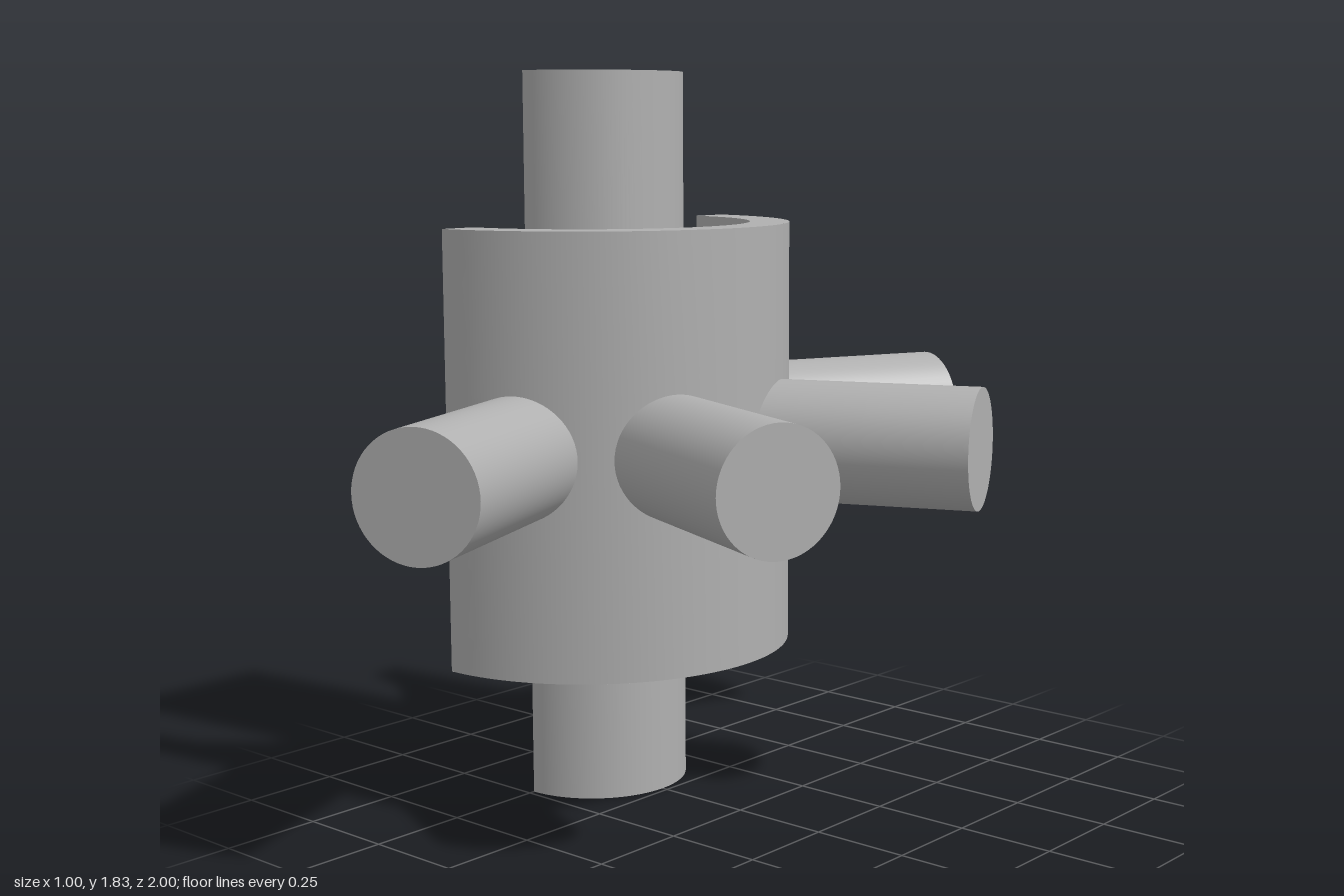
import * as THREE from 'three';
import { ParametricGeometry } from 'three/addons/geometries/ParametricGeometry.js';

// A hollow, half-sectioned hub: the section plane x = -0.5 is left open.
const AXIS_X = -0.5, MID = 0.917;
const SHAFT_R = 0.235, INNER_R = 0.405, OUTER_R = 0.506;
const SHAFT_H = 0.917, RING_H = 0.541, WEB_H = 0.071; // half heights
const PEG_R = 0.153, PEG_END = 1.019;
const SECTOR = Math.PI / 8; // half angle of the wall sector around each peg

export function createModel() {
  const model = new THREE.Group();
  const grey = new THREE.MeshStandardMaterial({ color: 0xb0b0b0, side: THREE.DoubleSide });
  grey.name = 'plain grey';

  const add = (name, geometry, parent = model) => {
    const mesh = new THREE.Mesh(geometry, grey);
    mesh.name = name;
    parent.add(mesh);
    return mesh;
  };

  // Half-turn surface swept by one straight profile segment
  const sweep = (name, r1, y1, r2, y2) => {
    const profile = [new THREE.Vector2(r1, MID + y1), new THREE.Vector2(r2, MID + y2)];
    add(name, new THREE.LatheGeometry(profile, 64, 0, Math.PI)).position.x = AXIS_X;
  };

  // Shaft, web and ring surfaces, upper half then its mirror below;
  // ordered so that every face points out of the solid
  for (const [side, s] of [['upper', 1], ['lower', -1]]) {
    const part = (name, r1, y1, r2, y2) => (s > 0
      ? sweep(`${side}${name}`, r1, y1, r2, y2)
      : sweep(`${side}${name}`, r2, -y2, r1, -y1));
    part('ShaftWall', SHAFT_R, WEB_H, SHAFT_R, SHAFT_H);
    part('ShaftCap', SHAFT_R, SHAFT_H, 0, SHAFT_H);
    part('WebFace', INNER_R, WEB_H, SHAFT_R, WEB_H);
    part('RingInnerWall', INNER_R, RING_H, INNER_R, WEB_H);
    part('RingRim', OUTER_R, RING_H, INNER_R, RING_H);
  }

  // Angle of the ring wall where the peg outline meets it
  const holeAngle = (phi) => Math.asin((PEG_R * Math.cos(phi)) / OUTER_R);

  // Ring wall sector, running from the peg opening out to the sector border
  const wall = (u, v, target) => {
    const phi = u * Math.PI * 2, c = Math.cos(phi), s = Math.sin(phi);
    const m = Math.max(Math.abs(c), Math.abs(s));
    const angle = THREE.MathUtils.lerp(holeAngle(phi), (SECTOR * c) / m, v);
    const y = THREE.MathUtils.lerp(PEG_R * s, (RING_H * s) / m, v);
    target.set(OUTER_R * Math.cos(angle), y, -OUTER_R * Math.sin(angle));
  };

  // Peg tube, running from the ring wall to its flat end
  const tube = (u, v, target) => {
    const phi = u * Math.PI * 2;
    const start = OUTER_R * Math.cos(holeAngle(phi));
    target.set(THREE.MathUtils.lerp(start, PEG_END, v), PEG_R * Math.sin(phi), -PEG_R * Math.cos(phi));
  };

  // Four pegs fanned evenly over the half circle, each with its wall sector
  for (const k of [-3, -1, 1, 3]) {
    const group = new THREE.Group();
    group.name = 'pegSector';
    group.position.set(AXIS_X, MID, 0);
    group.rotation.y = k * SECTOR;
    add('ringOuterWall', new ParametricGeometry(wall, 64, 10), group);
    add('pegTube', new ParametricGeometry(tube, 64, 2), group);
    const end = add('pegEnd', new THREE.CircleGeometry(PEG_R, 64), group);
    end.position.x = PEG_END;
    end.rotation.y = Math.PI / 2;
    model.add(group);
  }
  return model;
}
